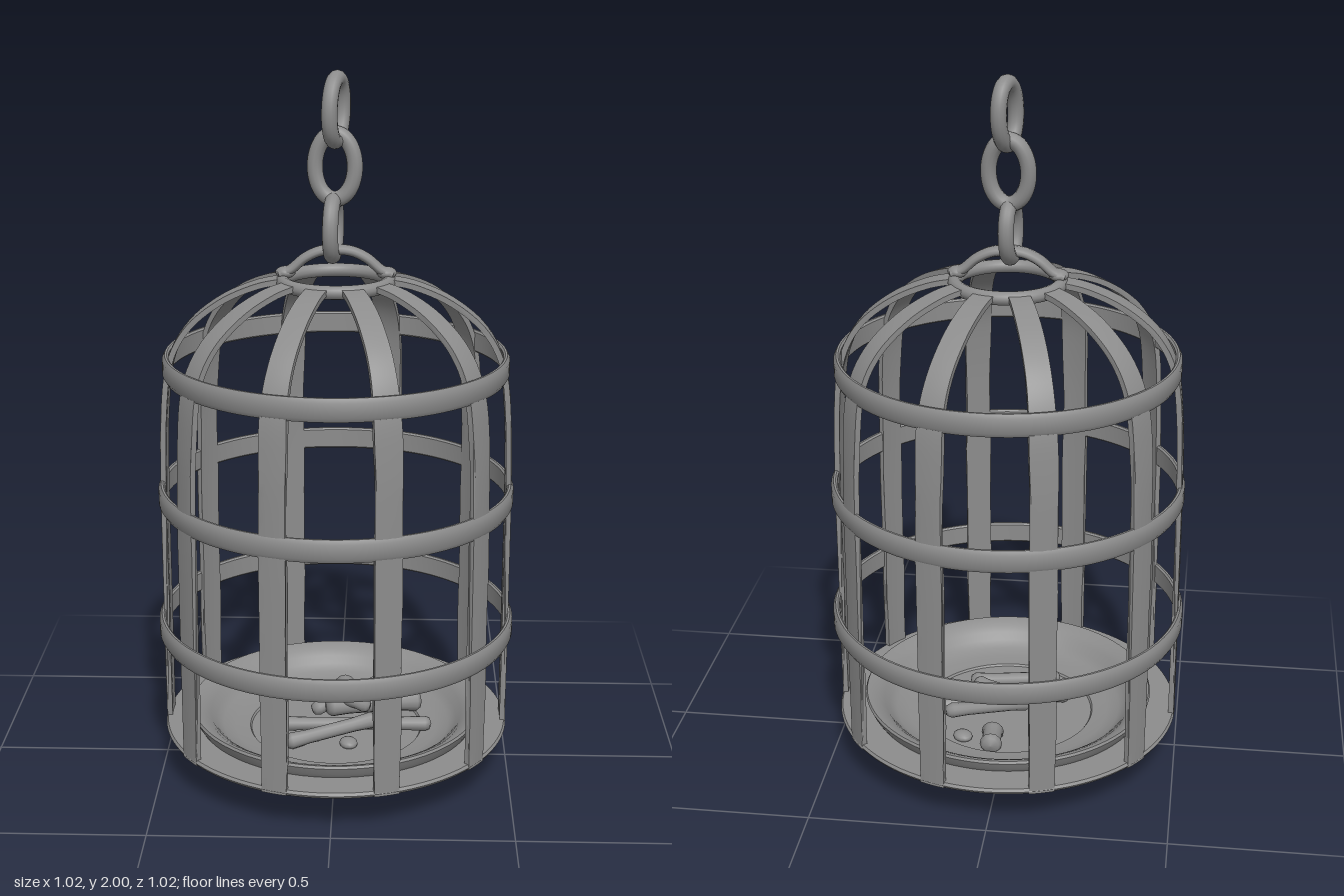
import * as THREE from 'three';
import { toCreasedNormals } from 'three/addons/utils/BufferGeometryUtils.js';

const material = new THREE.MeshStandardMaterial({ color: 0x8c8c8c });
const vec2 = ([x, y]) => new THREE.Vector2(x, y);
const vec3 = (p) => new THREE.Vector3(...p);

function addMesh(parent, name, geometry, position = [0, 0, 0]) {
  const mesh = new THREE.Mesh(geometry, material);
  mesh.name = name;
  mesh.position.set(...position);
  parent.add(mesh);
  return mesh;
}

// Closed lathe from a [radius, y] outline running up the outside
function lathe(points) {
  return toCreasedNormals(new THREE.LatheGeometry(points.map(vec2), 96), 0.6);
}

// Flat vertical strap that bends inward into the dome
function strapGeometry() {
  const curve = new THREE.SplineCurve([
    [0.488, 0.12], [0.488, 0.5], [0.487, 0.85], [0.481, 1.05], [0.462, 1.2],
    [0.41, 1.3], [0.32, 1.375], [0.22, 1.42], [0.135, 1.437],
  ].map(vec2));
  const outer = [], inner = [];
  const count = 44;
  for (let i = 0; i <= count; i++) {
    const p = curve.getPoint(i / count), t = curve.getTangent(i / count);
    const normal = new THREE.Vector2(t.y, -t.x);
    outer.push(p.clone().addScaledVector(normal, 0.008));
    inner.unshift(p.clone().addScaledVector(normal, -0.008));
  }
  const geometry = new THREE.ExtrudeGeometry(new THREE.Shape([...outer, ...inner]), {
    depth: 0.073, steps: 4, bevelEnabled: false,
  });
  geometry.translate(0, 0, -0.0365);
  // Narrow toward the crown, bow across the width, slightly uneven edges
  const pos = geometry.attributes.position;
  for (let i = 0; i < pos.count; i++) {
    const x = pos.getX(i), y = pos.getY(i), z = pos.getZ(i);
    const taper = THREE.MathUtils.clamp((0.45 - x) / 0.32, 0, 1);
    pos.setX(i, x - z * z * 1.2 * (1 - taper));
    pos.setZ(i, z * (1 - 0.25 * taper) + 0.002 * Math.sin(y * 17 + z * 30));
  }
  return toCreasedNormals(geometry, 0.6);
}

// Horizontal band with rounded corners
function hoopGeometry(radius) {
  const h = 0.032, inside = radius - 0.018;
  return lathe([
    [inside, -h + 0.005], [inside + 0.005, -h], [radius - 0.007, -h], [radius, -h + 0.012],
    [radius, h - 0.012], [radius - 0.007, h], [inside + 0.005, h], [inside, h - 0.005],
    [inside, -h + 0.005],
  ]);
}

// Oval chain link standing in the xy plane
function linkGeometry(halfWidth, halfHeight) {
  const points = [];
  for (let i = 0; i < 20; i++) {
    const a = (i / 20) * Math.PI * 2;
    points.push(vec3([Math.cos(a) * halfWidth, Math.sin(a) * halfHeight, 0]));
  }
  return new THREE.TubeGeometry(new THREE.CatmullRomCurve3(points, true), 56, 0.022, 12, true);
}

// Bone lying between two points, slightly thicker at both ends
function addBone(parent, from, to, radius) {
  const a = vec3(from), b = vec3(to), h = a.distanceTo(b) / 2;
  const profile = [
    [0, -h], [radius * 0.8, -h + 0.005], [radius * 1.08, -h + 0.018], [radius * 0.92, -h * 0.5],
    [radius * 0.92, h * 0.5], [radius * 1.08, h - 0.018], [radius * 0.8, h - 0.005], [0, h],
  ].map(vec2);
  const mesh = addMesh(parent, 'bone', new THREE.LatheGeometry(profile, 12));
  mesh.position.copy(a).add(b).multiplyScalar(0.5);
  mesh.quaternion.setFromUnitVectors(new THREE.Vector3(0, 1, 0), b.sub(a).normalize());
}

export function createModel() {
  const cage = new THREE.Group();
  cage.name = 'hangingCage';

  // Flat floor rim, and a dished tray with a broad lip and a sunken centre
  addMesh(cage, 'floorRim', lathe([
    [0.38, 0.12], [0.492, 0.12], [0.497, 0.128], [0.492, 0.136], [0.38, 0.136], [0.38, 0.12],
  ]));
  addMesh(cage, 'tray', lathe([
    [0, 0.004], [0.08, 0.007], [0.16, 0.019], [0.24, 0.042], [0.32, 0.077], [0.37, 0.105],
    [0.397, 0.124], [0.413, 0.15], [0.422, 0.17], [0.418, 0.177], [0.405, 0.174], [0.385, 0.163],
    [0.367, 0.15], [0.352, 0.13], [0.33, 0.113], [0.295, 0.104], [0.252, 0.1], [0.248, 0.094],
    [0, 0.094],
  ]));

  // Scraps on the tray
  const scraps = new THREE.Group();
  scraps.name = 'scraps';
  cage.add(scraps);
  addBone(scraps, [-0.07, 0.13, -0.02], [0.16, 0.175, -0.17], 0.02);
  addBone(scraps, [-0.18, 0.12, 0.05], [0.28, 0.125, 0.045], 0.02);
  addBone(scraps, [-0.14, 0.115, 0.16], [0.12, 0.145, 0.06], 0.022);
  addBone(scraps, [-0.03, 0.15, -0.01], [0.25, 0.13, -0.1], 0.03);
  addBone(scraps, [-0.06, 0.175, -0.07], [0.1, 0.165, 0.02], 0.021);
  addBone(scraps, [0.02, 0.115, -0.25], [0.025, 0.115, -0.15], 0.03);
  for (const [x, z] of [[0.11, -0.18], [-0.06, 0.09], [0.04, 0.13]]) {
    const chip = addMesh(scraps, 'chip', new THREE.SphereGeometry(0.026, 14, 8), [x, 0.102, z]);
    chip.scale.set(1, 0.6, 1.15);
    chip.rotation.y = x * 9;
  }

  // Ten straps and three hoops
  const strap = strapGeometry();
  for (let i = 0; i < 10; i++) {
    addMesh(cage, 'strap', strap).rotation.y = (i * Math.PI) / 5;
  }
  for (const [radius, y] of [[0.508, 0.44], [0.5, 0.83], [0.48, 1.203]]) {
    addMesh(cage, 'hoop', hoopGeometry(radius), [0, y, 0]);
  }

  // Crown ring with an arched handle
  const ring = addMesh(cage, 'crownRing', new THREE.TorusGeometry(0.145, 0.019, 12, 64), [0, 1.432, 0]);
  ring.rotation.x = Math.PI / 2;
  const arch = new THREE.CatmullRomCurve3([
    [-0.155, 1.452, 0], [-0.125, 1.463, 0], [-0.085, 1.496, 0], [-0.045, 1.515, 0], [0, 1.52, 0],
    [0.045, 1.515, 0], [0.085, 1.496, 0], [0.125, 1.463, 0], [0.155, 1.452, 0],
  ].map(vec3));
  const handle = addMesh(cage, 'handle', new THREE.TubeGeometry(arch, 40, 0.014, 12));
  handle.scale.z = 1.9;
  for (const side of [-1, 1]) {
    const foot = addMesh(cage, 'handleFoot', new THREE.SphereGeometry(0.028, 16, 10), [side * 0.138, 1.456, 0]);
    foot.scale.y = 0.6;
  }

  // Three interlocking chain links
  const chain = new THREE.Group();
  chain.name = 'chain';
  cage.add(chain);
  const links = [
    [0.055, 0.075, [-0.008, 1.577, -0.005], [0, 1.45, -0.13]],
    [0.055, 0.088, [-0.004, 1.742, -0.023], [-0.05, -0.15, 0]],
    [0.055, 0.083, [0, 1.895, -0.015], [0, 1.27, -0.12]],
  ];
  for (const [w, h, position, rotation] of links) {
    addMesh(chain, 'chainLink', linkGeometry(w, h), position).rotation.set(...rotation);
  }
  return cage;
}
